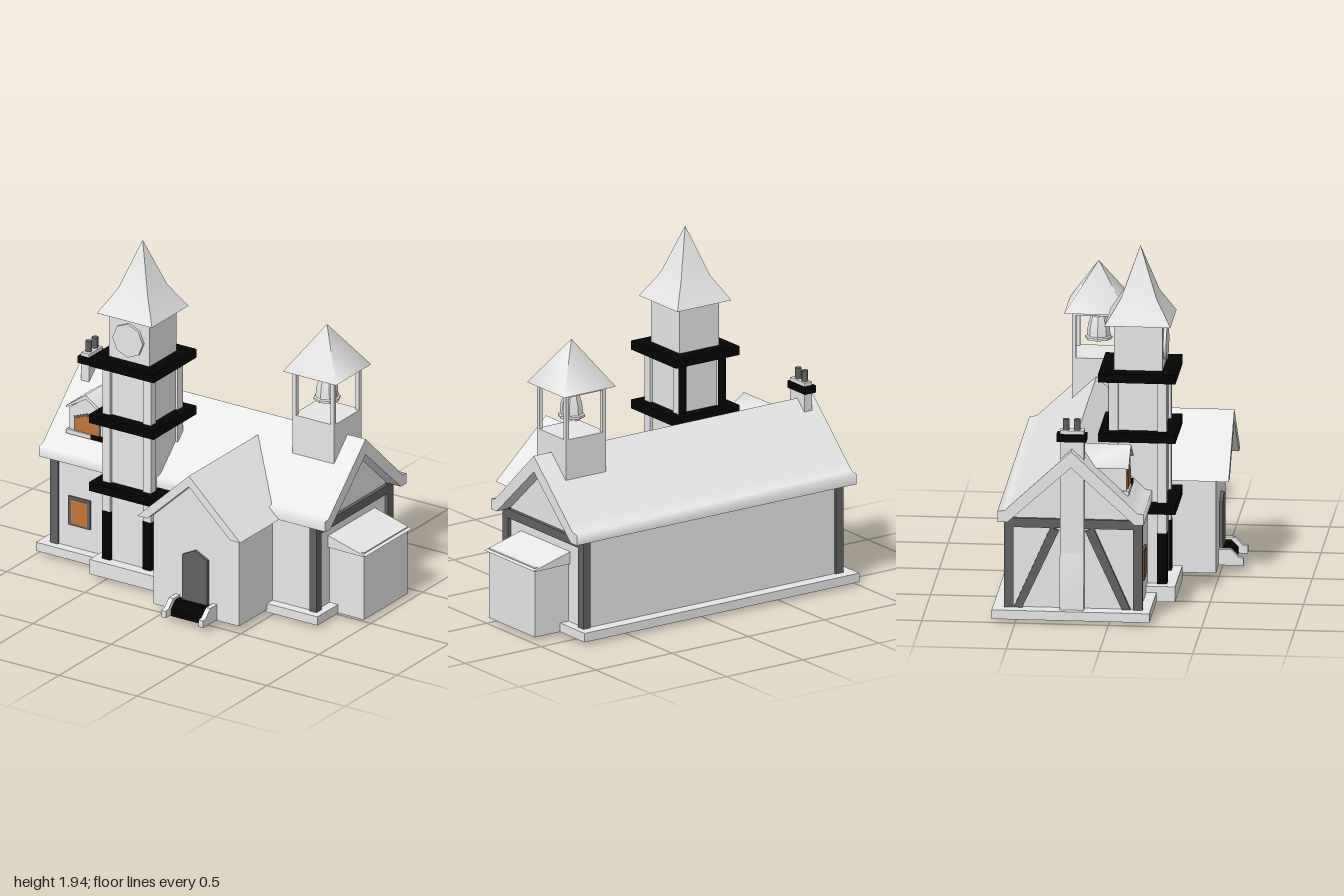
import * as THREE from 'three';
import { toCreasedNormals } from 'three/addons/utils/BufferGeometryUtils.js';

const material = (name, color, side = THREE.FrontSide) => {
  const m = new THREE.MeshStandardMaterial({ color, side });
  m.name = name;
  return m;
};

export function createModel() {
  const plaster = material('pale plaster', 0xe8e8e8, THREE.DoubleSide);
  const timber = material('dark timber', 0x626262);
  const black = material('black trim', 0x040404);
  const amber = material('amber glass', 0xc27539);
  const root = new THREE.Group();
  root.name = 'townHall';

  const group = (name) => {
    const g = new THREE.Group();
    g.name = name;
    root.add(g);
    return g;
  };
  const add = (parent, name, geometry, mat) => {
    const mesh = new THREE.Mesh(geometry, mat);
    mesh.name = name;
    parent.add(mesh);
    return mesh;
  };
  // Box given by its limits on each axis
  const box = (parent, name, [x0, x1], [y0, y1], [z0, z1], mat = plaster) => {
    const g = new THREE.BoxGeometry(x1 - x0, y1 - y0, z1 - z0);
    g.translate((x0 + x1) / 2, (y0 + y1) / 2, (z0 + z1) / 2);
    return add(parent, name, g, mat);
  };
  const square = (parent, name, x, z, half, ys, mat = plaster) =>
    box(parent, name, [x - half, x + half], ys, [z - half, z + half], mat);
  // Outline in x, y extruded from z0 to z1; edges flatter than the crease are smoothed
  const prismZ = (parent, name, pts, z0, z1, mat = plaster, crease = 0.1) => {
    const shape = new THREE.Shape(pts.map(([x, y]) => new THREE.Vector2(x, y)));
    const g = new THREE.ExtrudeGeometry(shape, { depth: z1 - z0, bevelEnabled: false });
    g.translate(0, 0, z0);
    return add(parent, name, toCreasedNormals(g, crease), mat);
  };
  // Outline in z, y extruded from x0 to x1
  const prismX = (parent, name, pts, x0, x1, mat = plaster, crease = 0.1) => {
    const mesh = prismZ(parent, name, pts.map(([z, y]) => [-z, y]), 0, x1 - x0, mat, crease);
    mesh.geometry.rotateY(Math.PI / 2).translate(x0, 0, 0);
    return mesh;
  };
  // Hollow box open at the bottom
  const hollow = (parent, name, [x0, x1], [y0, y1], [z0, z1], t) => {
    const rect = (d) => [[x0 + d, d - z1], [x1 - d, d - z1], [x1 - d, -z0 - d], [x0 + d, -z0 - d]]
      .map(([x, y]) => new THREE.Vector2(x, y));
    const shape = new THREE.Shape(rect(0));
    shape.holes.push(new THREE.Path(rect(t).reverse()));
    const g = new THREE.ExtrudeGeometry(shape, { depth: y1 - y0, bevelEnabled: false });
    g.rotateX(-Math.PI / 2).translate(0, y0, 0);
    add(parent, name, g, plaster);
    box(parent, name + 'Top', [x0 + t, x1 - t], [y1 - 0.008, y1], [z0 + t, z1 - t]);
  };

  // Main hall
  const hall = group('hall');
  const mid = -0.2;
  hollow(hall, 'foundation', [-1, 0.805], [0.02, 0.07], [-0.625, 0.22], 0.025);
  prismX(hall, 'walls', [[-0.555, 0.07], [0.165, 0.07], [0.165, 0.57], [mid, 0.89], [-0.555, 0.57]], -0.92, 0.75);
  prismX(hall, 'roof', [
    [0.19, 0.56], [0.19, 0.618], [0.155, 0.625], [0.12, 0.658], [mid, 0.96], [-0.52, 0.658], [-0.555, 0.625],
    [-0.595, 0.618], [-0.595, 0.56], [-0.54, 0.56], [mid, 0.87], [0.14, 0.56],
  ], -1, 0.835, plaster, 1.46);
  for (const [x0, x1] of [[-0.937, -0.887], [0.725, 0.77]]) {
    for (const z of [-0.565, 0.127]) box(hall, 'cornerPost', [x0, x1], [0.05, 0.57], [z, z + 0.05], timber);
    box(hall, 'tieBeam', [x0, x1], [0.515, 0.565], [-0.52, 0.13], timber);
  }
  // Slanting braces on the chimney end
  for (const s of [-1, 1]) {
    const at = (d, y) => [mid + s * d, y];
    prismX(hall, 'brace', [at(0.335, 0.02), at(0.315, 0), at(0.29, 0.02), at(0.07, 0.5), at(0.115, 0.52)],
      -0.937, -0.887, timber);
  }

  // Square window
  const win = group('wallWindow');
  box(win, 'frame', [-0.822, -0.683], [0.2, 0.367], [0.16, 0.176], timber);
  box(win, 'pane', [-0.803, -0.7], [0.213, 0.352], [0.174, 0.179], amber);

  // Chimney on the end wall
  const chimney = group('chimney');
  prismZ(chimney, 'stack', [[-0.965, 0.07], [-0.96, 0.25], [-0.945, 0.38], [-0.945, 1.06], [-0.895, 1.06], [-0.895, 0.07]],
    -0.265, -0.135);
  box(chimney, 'cap', [-0.96, -0.887], [1.0, 1.04], [-0.282, -0.122], black);
  for (const z of [-0.233, -0.173]) {
    add(chimney, 'pot', new THREE.CylinderGeometry(0.018, 0.018, 0.08, 8), timber).position.set(-0.922, 1.08, z);
  }

  // Dormer
  const dormer = group('dormer');
  const dx = -0.76;
  const ridge = (w, e, t) => [[dx - w, 0.7], [dx + w, 0.7], [dx + w, e], [dx, t], [dx - w, e]];
  prismZ(dormer, 'dormerWalls', ridge(0.113, 0.84, 0.92), -0.13, 0.085);
  prismZ(dormer, 'dormerRoof', [
    [dx - 0.128, 0.838], [dx - 0.128, 0.85], [dx, 0.94], [dx + 0.128, 0.85], [dx + 0.128, 0.838], [dx, 0.915],
  ], -0.18, 0.1, plaster, 1.3);
  prismZ(dormer, 'dormerFrame', ridge(0.084, 0.795, 0.828), 0.08, 0.089, timber);
  prismZ(dormer, 'dormerPane', ridge(0.075, 0.785, 0.816), 0.086, 0.092, amber);
  box(dormer, 'sill', [-0.885, -0.73], [0.69, 0.714], [0.05, 0.1]);
  box(dormer, 'sillDarkEnd', [-0.73, -0.625], [0.69, 0.714], [0.05, 0.1], black);

  // Clock tower
  const tower = group('clockTower');
  const tx = -0.385, tz = 0.115;
  hollow(tower, 'towerBase', [tx - 0.205, tx + 0.205], [0.02, 0.105], [tz - 0.205, tz + 0.205], 0.015);
  square(tower, 'shaft', tx, tz, 0.14, [0.1, 1.25]);
  for (const sx of [-1, 1]) for (const sz of [-1, 1]) {
    const x = tx + sx * 0.13, z = tz + sz * 0.13;
    square(tower, 'lowerPost', x, z, 0.026, [0.035, 0.385], black);
    square(tower, 'upperPost', x, z, 0.025, [0.385, 1.25]);
    if (sz < 0) box(tower, 'rearPostFace', [x - 0.025, x + 0.025], [0.95, 1.23], [z - 0.028, z - 0.025], black);
  }
  for (const y of [0.505, 0.9, 1.23]) square(tower, 'band', tx, tz, 0.207, [y, y + 0.05], black);
  square(tower, 'clockRoom', tx, tz, 0.13, [1.28, 1.54]);
  const clock = add(tower, 'clockFace', new THREE.CylinderGeometry(0.097, 0.097, 0.02, 8), plaster);
  clock.rotation.x = Math.PI / 2;
  clock.position.set(tx, 1.405, tz + 0.136);
  // Flared spire with four sides
  const spire = new THREE.LatheGeometry(
    [[0, 1.535], [0.177, 1.535], [0.095, 1.67], [0, 1.94]].map(([r, y]) => new THREE.Vector2(r * Math.SQRT2, y)), 4)
    .rotateY(Math.PI / 4);
  add(tower, 'spire', toCreasedNormals(spire, 0.5), plaster).position.set(tx, 0, tz);

  // Gabled porch, hollow below
  const porch = group('porch');
  const px = 0.208;
  prismZ(porch, 'porchFront', [[px - 0.273, 0.035], [px + 0.273, 0.035], [px + 0.273, 0.565], [px, 0.825], [px - 0.273, 0.565]],
    0.465, 0.49);
  for (const s of [-1, 1]) {
    const x = px + s * 0.26;
    box(porch, 'porchSide', [x - 0.013, x + 0.013], [0.035, 0.57], [0.1, 0.47]);
    box(porch, 'innerPane', [px + s * 0.12 - 0.02, px + s * 0.12 + 0.02], [0.06, 0.2], [0.458, 0.465], amber);
    prismX(porch, 'stepCheek', [[0.48, 0.04], [0.625, 0.04], [0.625, 0.08], [0.6, 0.085], [0.555, 0.128], [0.48, 0.128]],
      px + s * 0.119 - 0.014, px + s * 0.119 + 0.014);
  }
  prismZ(porch, 'porchRoof', [
    [px - 0.33, 0.56], [px, 0.87], [px + 0.33, 0.56], [px + 0.265, 0.56], [px, 0.808], [px - 0.265, 0.56],
  ], -0.11, 0.563);
  prismZ(porch, 'door', [[px - 0.08, 0.1], [px + 0.08, 0.1], [px + 0.08, 0.375], [px, 0.415], [px - 0.08, 0.375]],
    0.485, 0.508, timber);
  prismX(porch, 'steps', [[0.48, 0.035], [0.575, 0.035], [0.575, 0.075], [0.535, 0.115], [0.48, 0.115]],
    px - 0.105, px + 0.105, black);

  // Lean-to on the end wall
  const annex = group('leanTo');
  hollow(annex, 'leanToWalls', [0.62, 0.97], [0.02, 0.41], [-0.4, 0.02], 0.015);
  prismZ(annex, 'leanToRoof', [[0.75, 0.395], [0.96, 0.392], [0.99, 0.398], [0.75, 0.463]], -0.415, 0.035);
  box(annex, 'innerSill', [0.7, 0.74], [0.02, 0.06], [-0.385, 0.005], amber);

  // Open belfry
  const belfry = group('belfry');
  const bx = 0.587, bz = -0.2;
  square(belfry, 'belfryBase', bx, bz, 0.132, [0.83, 1.06]);
  for (const sx of [-1, 1]) for (const sz of [-1, 1]) {
    square(belfry, 'belfryPost', bx + sx * 0.121, bz + sz * 0.121, 0.011, [1.06, 1.32]);
  }
  for (const s of [-1, 1]) {
    box(belfry, 'lintel', [bx - 0.132, bx + 0.132], [1.295, 1.32], [bz + s * 0.121 - 0.011, bz + s * 0.121 + 0.011]);
    box(belfry, 'sideLintel', [bx + s * 0.121 - 0.011, bx + s * 0.121 + 0.011], [1.295, 1.32], [bz - 0.11, bz + 0.11]);
  }
  const cap = new THREE.ConeGeometry(0.17 * Math.SQRT2, 0.255, 4, 1, true).rotateY(Math.PI / 4);
  add(belfry, 'belfryRoof', cap, plaster).position.set(bx, 1.4425, bz);
  // Eight-sided bell with a lip, hung from the roof
  const bell = new THREE.LatheGeometry(
    [[0, 1.15], [0.06, 1.135], [0.073, 1.137], [0.073, 1.15], [0.063, 1.155], [0.058, 1.21], [0.042, 1.265], [0, 1.285]]
      .map(([r, y]) => new THREE.Vector2(r, y)), 8);
  add(belfry, 'bell', toCreasedNormals(bell, 0.6), plaster).position.set(bx, 0, bz);
  add(belfry, 'bellHanger', new THREE.CylinderGeometry(0.01, 0.01, 0.06, 6), plaster).position.set(bx, 1.31, bz);

  return root;
}
